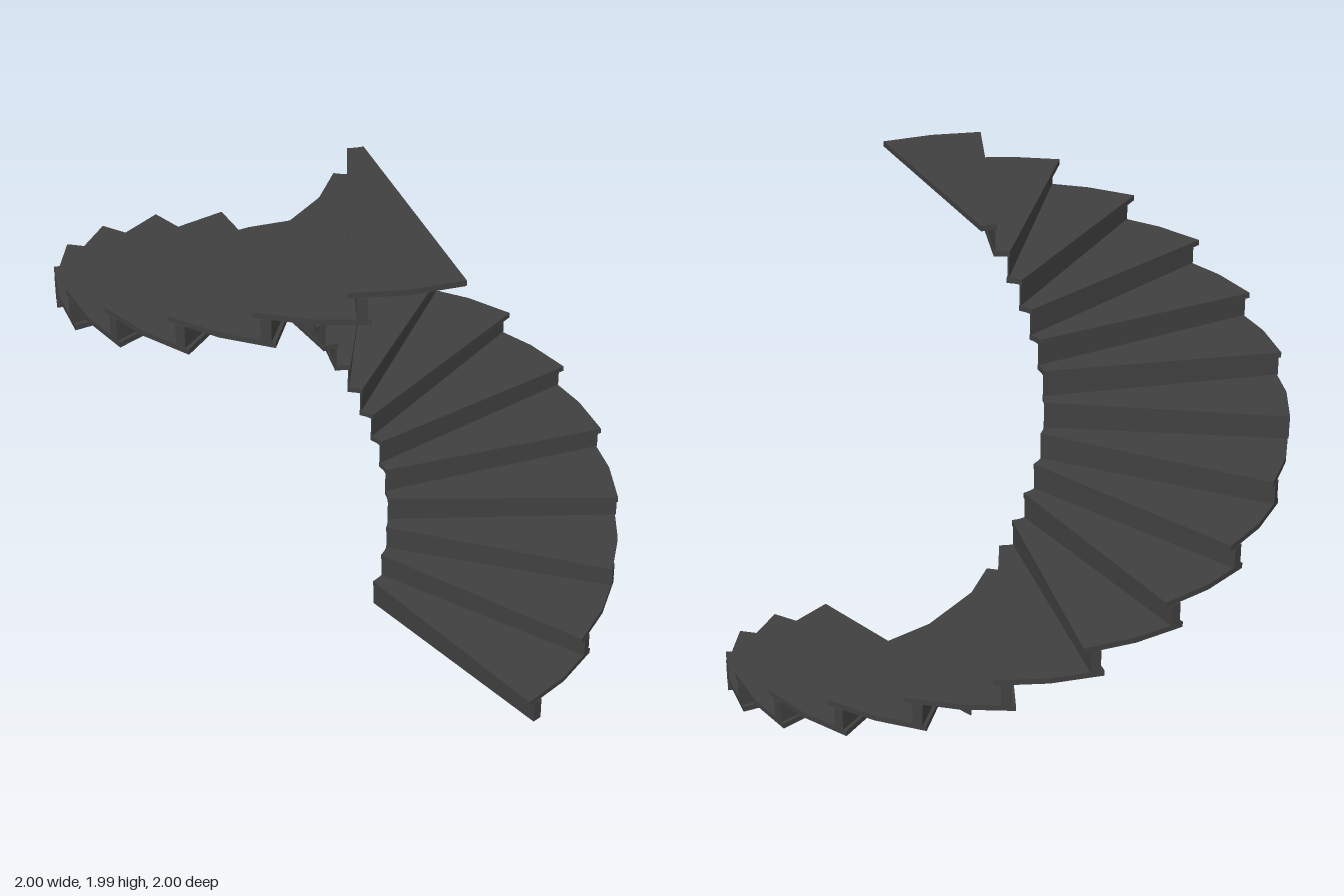
import * as THREE from 'three';

const STEPS = 20;
const PITCH = 16.86;      // degrees turned per step
const RISE = 0.0991;      // height gained per step
const START = 18.5;       // degrees from the front, towards +x
const TREAD_SPAN = 21.1;  // each tread runs on beneath the next riser
const NOSING = 1.5;       // tread overhang in front of its riser
const RISER_SPAN = 2.0;
const TREAD_THICK = 0.02;
const INNER = 0.152, OUTER = 1;

// Ring-sector slab lying in the xz plane, rising from y = 0.
function sector(from, span, height, segments) {
  const shape = new THREE.Shape();
  const put = (radius, t, method) => {
    const a = THREE.MathUtils.degToRad(from + span * t);
    shape[method](radius * Math.sin(a), -radius * Math.cos(a));
  };
  put(INNER, 0, 'moveTo');
  for (let i = 0; i <= segments; i++) put(OUTER, i / segments, 'lineTo');
  for (let i = segments; i > 0; i--) put(INNER, i / segments, 'lineTo');
  shape.closePath();
  const geometry = new THREE.ExtrudeGeometry(shape, { depth: height, bevelEnabled: false });
  return geometry.rotateX(-Math.PI / 2);
}

export function createModel() {
  const stairs = new THREE.Group();
  stairs.name = 'spiralStaircase';
  const material = new THREE.MeshStandardMaterial({ color: 0x404040, flatShading: true });

  const riserHeight = RISE - 0.011;
  const treadGeometry = sector(START, TREAD_SPAN, TREAD_THICK, 2);
  const bottomRiser = sector(START + NOSING, RISER_SPAN, riserHeight, 1);
  // Upper risers stand on the tread below
  const upperRiser = sector(START + NOSING, RISER_SPAN, RISE - TREAD_THICK, 1);

  for (let i = 0; i < STEPS; i++) {
    const step = new THREE.Group();
    step.name = `step${i + 1}`;
    step.position.y = i * RISE;
    step.rotation.y = THREE.MathUtils.degToRad(i * PITCH);

    const riser = new THREE.Mesh(i === 0 ? bottomRiser : upperRiser, material);
    riser.name = 'riser';
    if (i > 0) riser.position.y = riserHeight + TREAD_THICK - RISE;

    const tread = new THREE.Mesh(treadGeometry, material);
    tread.name = 'tread';
    tread.position.y = riserHeight;

    step.add(riser, tread);
    stairs.add(step);
  }
  return stairs;
}
